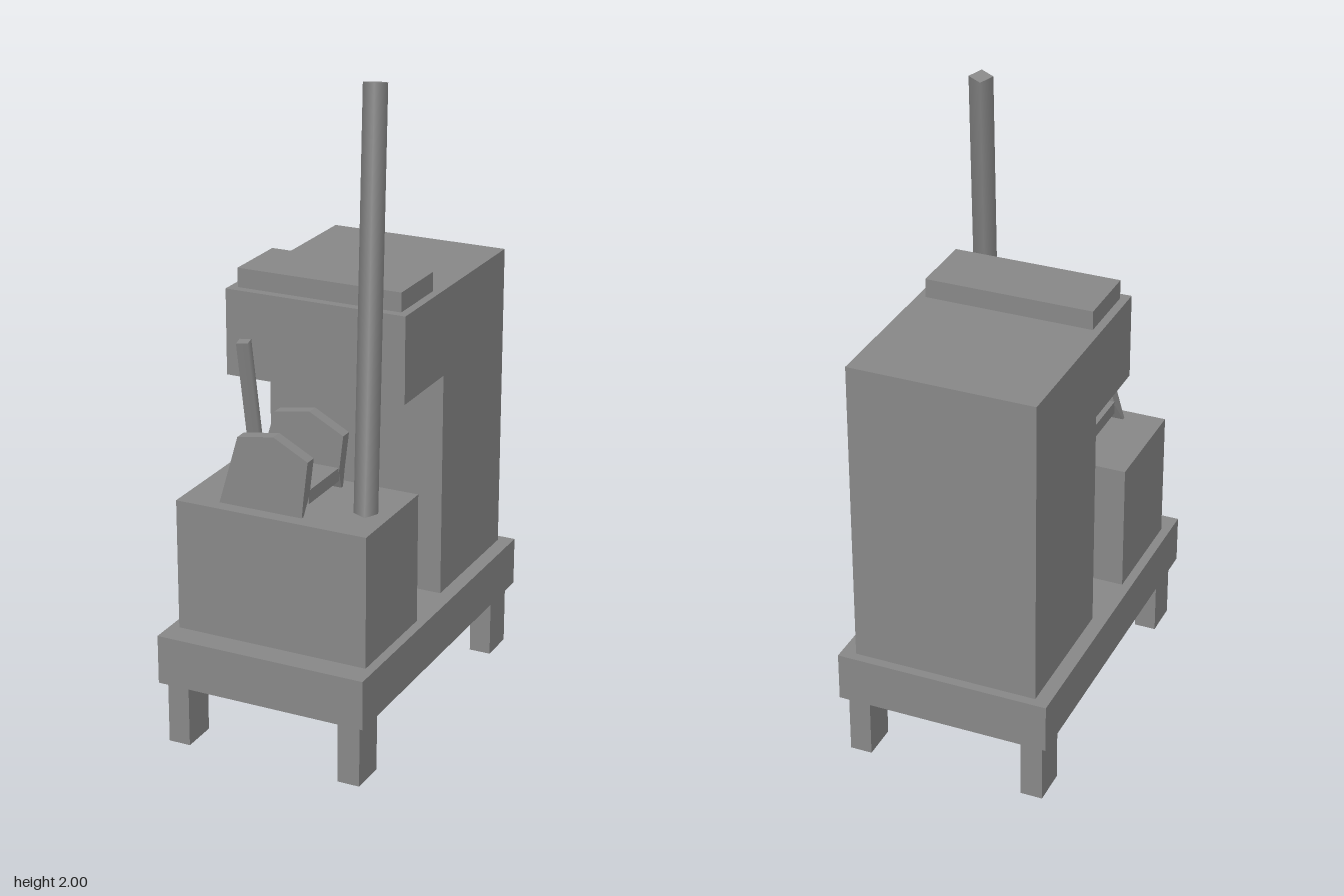
import * as THREE from 'three';

const material = new THREE.MeshStandardMaterial({ color: 0x878787, side: THREE.DoubleSide });

function add(parent, name, geometry) {
  const mesh = new THREE.Mesh(geometry, material);
  mesh.name = name;
  parent.add(mesh);
  return mesh;
}

// box given by its limits on each axis
function box(parent, name, x0, x1, y0, y1, z0, z1) {
  const mesh = add(parent, name, new THREE.BoxGeometry(x1 - x0, y1 - y0, z1 - z0));
  mesh.position.set((x0 + x1) / 2, (y0 + y1) / 2, (z0 + z1) / 2);
}

// upright rectangular tube, open at both ends
function rectTube(parent, name, cx, cz, w, d, y0, y1, wall) {
  const rect = (Path, hw, hd) => new Path([
    new THREE.Vector2(-hw, -hd), new THREE.Vector2(hw, -hd),
    new THREE.Vector2(hw, hd), new THREE.Vector2(-hw, hd),
  ]);
  const shape = rect(THREE.Shape, w / 2, d / 2);
  shape.holes.push(rect(THREE.Path, w / 2 - wall, d / 2 - wall));
  const geometry = new THREE.ExtrudeGeometry(shape, { depth: y1 - y0, bevelEnabled: false });
  geometry.rotateX(-Math.PI / 2);
  add(parent, name, geometry).position.set(cx, y0, cz);
}

// four-sided rod between two points, one edge turned towards its lean
function rod(parent, name, from, to, radius) {
  const a = new THREE.Vector3(...from), b = new THREE.Vector3(...to);
  const dir = b.clone().sub(a);
  const geometry = new THREE.CylinderGeometry(radius, radius, dir.length(), 4);
  geometry.rotateY(Math.atan2(dir.x, dir.z));
  const mesh = add(parent, name, geometry);
  mesh.position.copy(a).add(b).multiplyScalar(0.5);
  mesh.quaternion.setFromUnitVectors(new THREE.Vector3(0, 1, 0), dir.normalize());
}

function extruded(points, depth) {
  const shape = new THREE.Shape(points.map(([x, y]) => new THREE.Vector2(x, y)));
  return new THREE.ExtrudeGeometry(shape, { depth, bevelEnabled: false });
}

// cheek plate whose foot tapers away from the inner side
function cheekPlate(parent, z, innerIsBack) {
  const depth = 0.039;
  const plate = new THREE.Group();
  plate.name = 'cheekPlate';
  plate.position.z = z;
  parent.add(plate);
  add(plate, 'cheekTop', extruded([
    [-0.17, 0.83], [0.089, 0.83], [0.103, 0.945], [-0.008, 1.004], [-0.125, 0.985],
  ], depth));
  const foot = extruded([[-0.188, 0.768], [0.083, 0.768], [0.089, 0.83], [-0.17, 0.83]], depth);
  const p = foot.attributes.position;
  for (let i = 0; i < p.count; i++) {
    const inner = innerIsBack ? p.getZ(i) < depth / 2 : p.getZ(i) > depth / 2;
    if (inner && p.getY(i) < 0.8) p.setZ(i, innerIsBack ? 0.028 : depth - 0.028);
  }
  foot.computeVertexNormals();
  add(plate, 'cheekFoot', foot);
}

export function createModel() {
  const group = new THREE.Group();
  group.name = 'machine';

  // hollow base tray with cross bars underneath
  const base = new THREE.Group();
  base.name = 'base';
  group.add(base);
  rectTube(base, 'baseRim', 0, 0, 0.678, 1.13, 0.2, 0.345, 0.025);
  box(base, 'baseTop', -0.339, 0.339, 0.335, 0.355, -0.565, 0.565);
  for (const z of [0.5, 0.12, -0.3]) box(base, 'crossBar', -0.317, 0.317, 0.28, 0.338, z - 0.02, z + 0.02);

  // four hollow legs
  for (const x of [-0.284, 0.284])
    for (const z of [-0.483, 0.485]) rectTube(group, 'leg', x, z, 0.07, 0.118, 0, 0.21, 0.005);

  // rear column with overhanging head, profile drawn in z and y
  const body = extruded([
    [-0.535, 0.355], [-0.08, 0.355], [-0.08, 1.07],
    [0.195, 1.07], [0.195, 1.34], [-0.535, 1.34],
  ], 0.586);
  body.rotateY(-Math.PI / 2);
  add(group, 'columnAndHead', body).position.x = 0.293;
  box(group, 'headLid', -0.267, 0.267, 1.34, 1.4, -0.053, 0.167);

  // front housing
  box(group, 'frontHousing', -0.31, 0.31, 0.355, 0.768, 0.13, 0.485);

  // pair of cheek plates joined by a bridge
  cheekPlate(group, 0.173, false);
  cheekPlate(group, 0.403, true);
  box(group, 'bridge', -0.168, 0.088, 0.8, 0.842, 0.21, 0.405);

  // long and short levers
  rod(group, 'longLever', [0.233, 0.76, 0.327], [0.16, 1.994, 0.122], 0.036);
  rod(group, 'shortLever', [-0.096, 0.77, 0.35], [-0.126, 1.263, 0.394], 0.025);

  return group;
}
